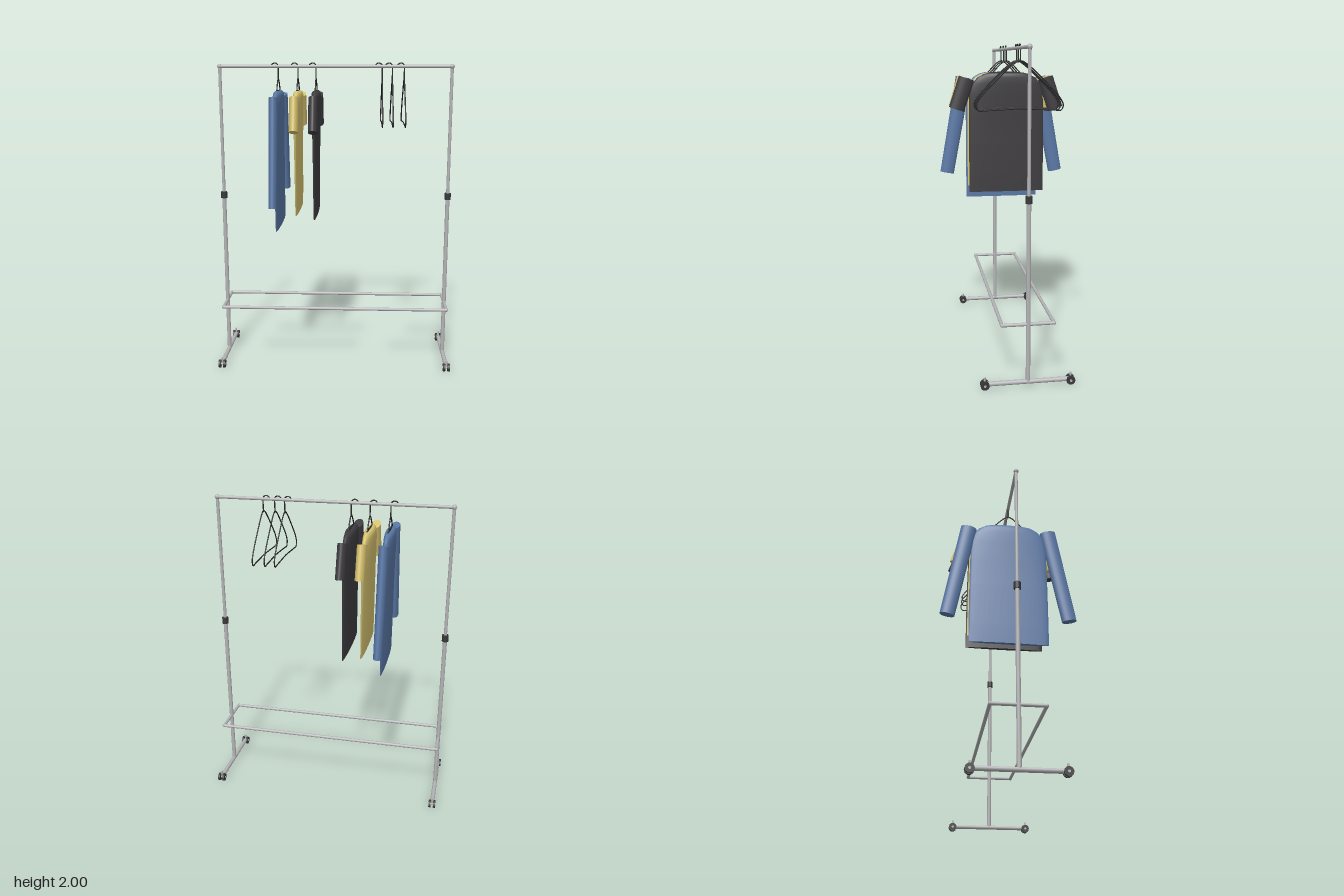
import * as THREE from 'three';
import { toCreasedNormals } from 'three/addons/utils/BufferGeometryUtils.js';

const V = (x, y, z) => new THREE.Vector3(x, y, z);
const paint = (name, color) => {
  const m = new THREE.MeshStandardMaterial({ color });
  m.name = name;
  return m;
};

function add(parent, name, geometry, material) {
  const mesh = new THREE.Mesh(geometry, material);
  mesh.name = name;
  parent.add(mesh);
  return mesh;
}

// Straight round bar between two points
function rod(parent, name, a, b, r, material, sides = 16) {
  const dir = b.clone().sub(a);
  const mesh = add(parent, name, new THREE.CylinderGeometry(r, r, dir.length(), sides), material);
  mesh.position.copy(a).add(b).multiplyScalar(0.5);
  mesh.quaternion.setFromUnitVectors(V(0, 1, 0), dir.normalize());
  return mesh;
}

// Closed garment body: elliptical rings [y, halfDepth(z), halfThickness(x)] from hem to neck
function garmentBody(rings) {
  const n = 40, pos = [], idx = [];
  for (const [y, hz, hx] of rings) {
    for (let i = 0; i < n; i++) {
      const t = (i / n) * Math.PI * 2;
      pos.push(Math.sin(t) * hx, y, Math.cos(t) * hz);
    }
  }
  for (let k = 0; k < rings.length - 1; k++) {
    for (let i = 0; i < n; i++) {
      const a = k * n + i, b = k * n + ((i + 1) % n);
      idx.push(a, b, b + n, a, b + n, a + n);
    }
  }
  const last = (rings.length - 1) * n;
  for (let i = 1; i < n - 1; i++) {
    idx.push(0, i + 1, i);
    idx.push(last, last + i, last + i + 1);
  }
  const g = new THREE.BufferGeometry();
  g.setAttribute('position', new THREE.Float32BufferAttribute(pos, 3));
  g.setIndex(idx);
  return toCreasedNormals(g, 0.8);
}

// Wire hanger with a hook over the rail
function hanger(parent, x, wire, width) {
  const g = new THREE.Group();
  g.name = 'hanger';
  g.position.x = x;
  parent.add(g);
  const hook = [V(0, 1.89, 0), V(0, 1.93, 0)];
  for (let i = 0; i <= 10; i++) {
    const t = (i / 10) * 3.4;
    hook.push(V(-0.022 + 0.022 * Math.cos(t), 1.974 + 0.022 * Math.sin(t), 0));
  }
  add(g, 'hangerHook', new THREE.TubeGeometry(new THREE.CatmullRomCurve3(hook), 40, 0.004, 8), wire);
  const half = [[0.035, 1.885], [0.13, 1.8], [0.235, 1.69], [0.26, 1.645], [0.25, 1.612], [0.2, 1.612]];
  const loop = [V(0, 1.9, 0)];
  for (const [z, y] of half) loop.push(V(0, y, z * width));
  loop.push(V(0, 1.62, 0));
  for (const [z, y] of half.slice().reverse()) loop.push(V(0, y, -z * width));
  add(g, 'hangerFrame', new THREE.TubeGeometry(new THREE.CatmullRomCurve3(loop, true), 96, 0.004, 8, true), wire);
}

// Shirt hung edge-on: body, neck slit and two sleeves ending at cuff (z, y)
function shirt(parent, name, x, hem, cuff, cloth, dark) {
  const g = new THREE.Group();
  g.name = name;
  g.position.x = x;
  parent.add(g);
  add(g, 'shirtBody', garmentBody([
    [hem, 0.253, 0.012], [hem + 0.12, 0.254, 0.015], [1.35, 0.254, 0.017], [1.55, 0.252, 0.021],
    [1.68, 0.249, 0.027], [1.75, 0.228, 0.029], [1.79, 0.195, 0.029], [1.812, 0.155, 0.026],
    [1.82, 0.125, 0.016], [1.822, 0.112, 0.007],
  ]), cloth);
  const neck = add(g, 'neckOpening', new THREE.CylinderGeometry(1, 1, 0.003, 24), dark);
  neck.scale.set(0.006, 1, 0.11);
  neck.position.y = 1.8222;
  for (const s of [1, -1]) {
    const top = V(0, 1.787, s * 0.266), end = V(0, cuff[1], s * cuff[0]);
    const dir = end.clone().sub(top);
    const geo = new THREE.CylinderGeometry(0.053, cuff[2], dir.length(), 28);
    geo.scale(0.56, 1, 1);
    const sleeve = add(g, 'sleeve', geo, cloth);
    sleeve.position.copy(top).add(end).multiplyScalar(0.5);
    sleeve.quaternion.setFromUnitVectors(V(0, -1, 0), dir.normalize());
  }
  hanger(parent, x, dark, 0.85);
}

export function createModel() {
  const model = new THREE.Group();
  model.name = 'clothesRack';
  const steel = paint('steel', 0xb4b4b6);
  const plastic = paint('darkPlastic', 0x38383a);
  const wire = paint('hangerBlack', 0x262628);
  const blue = paint('blueCloth', 0x5a78a6);
  const yellow = paint('yellowCloth', 0xd8c470);
  const charcoal = paint('charcoalCloth', 0x3f3d40);

  // Upright ends with feet and casters
  const px = 0.747;
  for (const s of [1, -1]) {
    const x = s * px;
    const end = new THREE.Group();
    end.name = 'rackEnd';
    model.add(end);
    rod(end, 'lowerPost', V(x, 0.03, 0), V(x, 1.13, 0), 0.0135, steel);
    rod(end, 'upperPost', V(x, 1.13, 0), V(x, 1.975, 0), 0.0105, steel);
    rod(end, 'heightCollar', V(x, 1.11, 0), V(x, 1.153, 0), 0.021, plastic);
    add(end, 'topCorner', new THREE.SphereGeometry(0.016, 16, 12), steel).position.set(x, 1.975, 0);
    rod(end, 'footBar', V(x, 0.031, -0.25), V(x, 0.031, 0.25), 0.014, steel);
    rod(end, 'shelfEndBar', V(x, 0.39, -0.155), V(x, 0.39, 0.155), 0.0105, steel);
    for (const f of [1, -1]) {
      const z = f * 0.258;
      for (const w of [1, -1]) {
        rod(end, 'casterWheel', V(x + w * 0.008, 0.027, z), V(x + w * 0.022, 0.027, z), 0.027, plastic, 10);
      }
      rod(end, 'casterAxle', V(x - 0.025, 0.027, z), V(x + 0.025, 0.027, z), 0.008, steel);
      rod(end, 'casterStem', V(x, 0.027, z), V(x, 0.072, z), 0.006, steel);
      add(end, 'shelfCorner', new THREE.SphereGeometry(0.0115, 12, 10), steel).position.set(x, 0.39, f * 0.155);
    }
  }

  // Hanging rail and shoe shelf
  rod(model, 'hangingRail', V(-px, 1.975, 0), V(px, 1.975, 0), 0.0105, steel);
  for (const z of [0.155, -0.155]) {
    rod(model, 'shelfRail', V(-px, 0.39, z), V(px, 0.39, z), 0.0105, steel);
  }

  // Clothes and spare hangers
  shirt(model, 'longSleeveShirt', -0.368, 0.94, [0.39, 1.12, 0.048], blue, wire);
  shirt(model, 'yellowShirt', -0.24, 1.045, [0.328, 1.583, 0.053], yellow, wire);
  shirt(model, 'charcoalShirt', -0.123, 1.02, [0.335, 1.582, 0.053], charcoal, wire);
  for (const x of [0.302, 0.367, 0.443]) hanger(model, x, wire, 1);
  return model;
}
